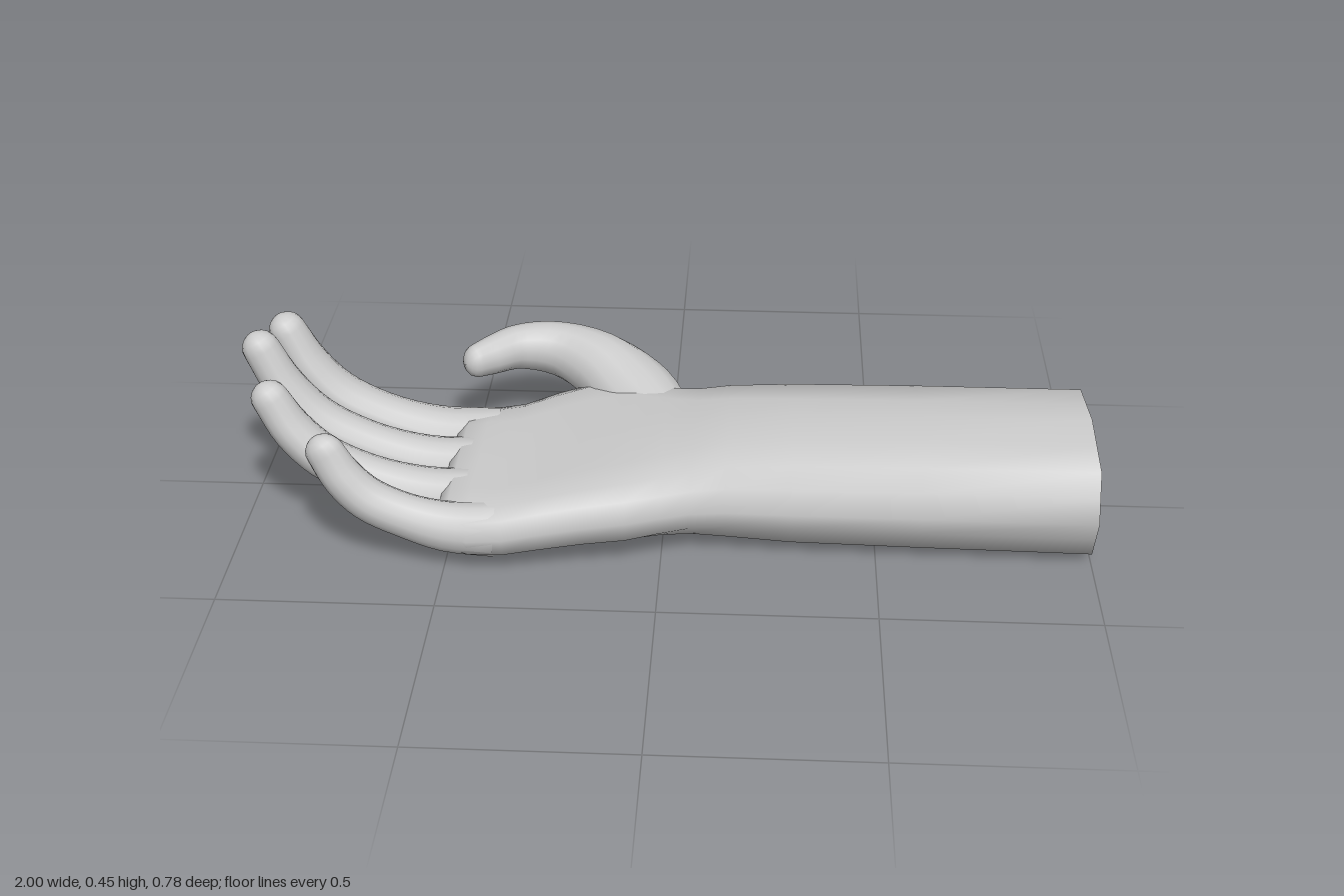
import * as THREE from 'three';

const material = new THREE.MeshStandardMaterial({ color: 0xcccccc, side: THREE.DoubleSide });

// Smooth skin over closed rings of points, left open at both ends
function skin(name, rings) {
  const n = rings[0].length, index = [];
  for (let i = 0; i < rings.length - 1; i++) {
    for (let j = 0; j < n; j++) {
      const k = (j + 1) % n;
      const a = i * n + j, b = i * n + k, c = a + n, d = b + n;
      index.push(a, b, c, b, d, c);
    }
  }
  const geometry = new THREE.BufferGeometry().setFromPoints(rings.flat());
  geometry.setIndex(index);
  geometry.computeVertexNormals();
  const mesh = new THREE.Mesh(geometry, material);
  mesh.name = name;
  return mesh;
}

// Tapered digit along a spine with a rounded tip.
// sizes: [half width along ref, half thickness] at each spine point
function digit(name, spine, sizes, ref, sides = 14) {
  const path = new THREE.CatmullRomCurve3(spine.map(p => new THREE.Vector3(...p)));
  const size = new THREE.CatmullRomCurve3(sizes.map(s => new THREE.Vector3(s[0], s[1], 0)));
  const rings = [];
  const addRing = (t, phi) => {
    const dir = path.getTangent(t), s = size.getPoint(t);
    const a = ref.clone().addScaledVector(dir, -ref.dot(dir)).normalize();
    const b = dir.clone().cross(a);
    const center = path.getPoint(t).addScaledVector(dir, s.y * Math.sin(phi));
    const ring = [];
    for (let j = 0; j < sides; j++) {
      const q = j / sides * Math.PI * 2;
      ring.push(center.clone()
        .addScaledVector(a, s.x * Math.cos(phi) * Math.cos(q))
        .addScaledVector(b, s.y * Math.cos(phi) * Math.sin(q)));
    }
    rings.push(ring);
  };
  for (let i = 0; i <= 20; i++) addRing(i / 20, 0);
  for (let i = 1; i <= 5; i++) addRing(1, Math.min(i / 5 * Math.PI / 2, 1.565));
  return skin(name, rings);
}

// Rounded octagon section across the arm; dip hollows the palm side
function section([x, z0, z1, y0, y1, round, dip]) {
  const power = v => Math.sign(v) * Math.abs(v) ** 0.64;
  const corner = k => [power(Math.cos(k * Math.PI / 4)), power(Math.sin(k * Math.PI / 4))]
    .map(v => Math.abs(v) < 1e-6 ? 0 : v);
  const ring = [];
  for (let j = 0; j < 16; j++) {
    let [u, v] = corner(j / 2);
    if (j % 2) {
      const a = corner((j - 1) / 2), b = corner((j + 1) / 2);
      u = THREE.MathUtils.lerp((a[0] + b[0]) / 2, u, round);
      v = THREE.MathUtils.lerp((a[1] + b[1]) / 2, v, round);
    }
    const hollow = v > 0 ? dip * (1 - u * u) : 0;
    ring.push(new THREE.Vector3(x, (y0 + y1) / 2 + v * (y1 - y0) / 2 - hollow,
      (z0 + z1) / 2 + u * (z1 - z0) / 2));
  }
  return ring;
}

export function createModel() {
  const group = new THREE.Group();
  group.name = 'handAndForearm';

  // Forearm, wrist and palm: x, z min, z max, y min, y max, roundness, hollow
  group.add(skin('forearmAndPalm', [
    [1, -0.18, 0.305, 0.002, 0.278, 0, 0],
    [0.6, -0.18, 0.305, 0.008, 0.277, 0, 0],
    [0.3, -0.18, 0.305, 0.015, 0.272, 0, 0],
    [0.15, -0.18, 0.303, 0.027, 0.262, 0.2, 0],
    [0.07, -0.185, 0.305, 0.035, 0.245, 0.5, 0],
    [0, -0.21, 0.32, 0.038, 0.232, 0.8, 0],
    [-0.08, -0.25, 0.345, 0.036, 0.228, 1, 0.01],
    [-0.18, -0.265, 0.36, 0.033, 0.218, 1, 0.02],
    [-0.28, -0.225, 0.375, 0.026, 0.205, 1, 0.025],
    [-0.36, -0.185, 0.387, 0.02, 0.19, 1, 0.02],
    [-0.44, -0.177, 0.385, 0.022, 0.175, 1, 0.01],
    [-0.49, -0.168, 0.375, 0.04, 0.16, 1, 0],
    [-0.515, -0.14, 0.345, 0.065, 0.135, 1, 0],
    [-0.52, -0.12, 0.32, 0.098, 0.102, 1, 0],
  ].map(section)));

  // Four fingers share one curl, scaled between knuckle and tip
  const curl = [[0, 0], [0.3, 0.03], [0.56, 0.18], [0.77, 0.39], [0.91, 0.68], [1, 1]];
  const fingers = [
    // name, base x, base z, tip x, tip y, tip z, width scale
    ['indexFinger', -0.42, -0.105, -0.925, 0.38, -0.1, 1.08],
    ['middleFinger', -0.42, 0.038, -0.955, 0.405, 0.045, 1],
    ['ringFinger', -0.42, 0.182, -0.91, 0.345, 0.178, 0.97],
    ['littleFinger', -0.38, 0.325, -0.757, 0.295, 0.328, 0.87],
  ];
  for (const [name, bx, bz, tx, ty, tz, w] of fingers) {
    const spine = curl.map(([u, v]) =>
      [bx + (tx - bx) * u, 0.098 + (ty - 0.098) * v, bz + (tz - bz) * u]);
    const sizes = [[0.068, 0.066], [0.064, 0.06], [0.058, 0.052],
      [0.059, 0.05], [0.055, 0.048], [0.042, 0.045]].map(([a, b]) => [a * w, b]);
    group.add(digit(name, spine, sizes, new THREE.Vector3(0, 0, 1)));
  }

  // Thumb sweeping out of the heel of the palm and hooking inward
  group.add(digit('thumb',
    [[0.0, 0.135, -0.1], [-0.09, 0.16, -0.22], [-0.18, 0.195, -0.295], [-0.29, 0.222, -0.333],
      [-0.39, 0.235, -0.315], [-0.455, 0.235, -0.265], [-0.487, 0.235, -0.235]],
    [[0.075, 0.08], [0.088, 0.105], [0.085, 0.09], [0.07, 0.065],
      [0.058, 0.052], [0.05, 0.044], [0.044, 0.036]],
    new THREE.Vector3(0, 1, 0)));

  return group;
}
